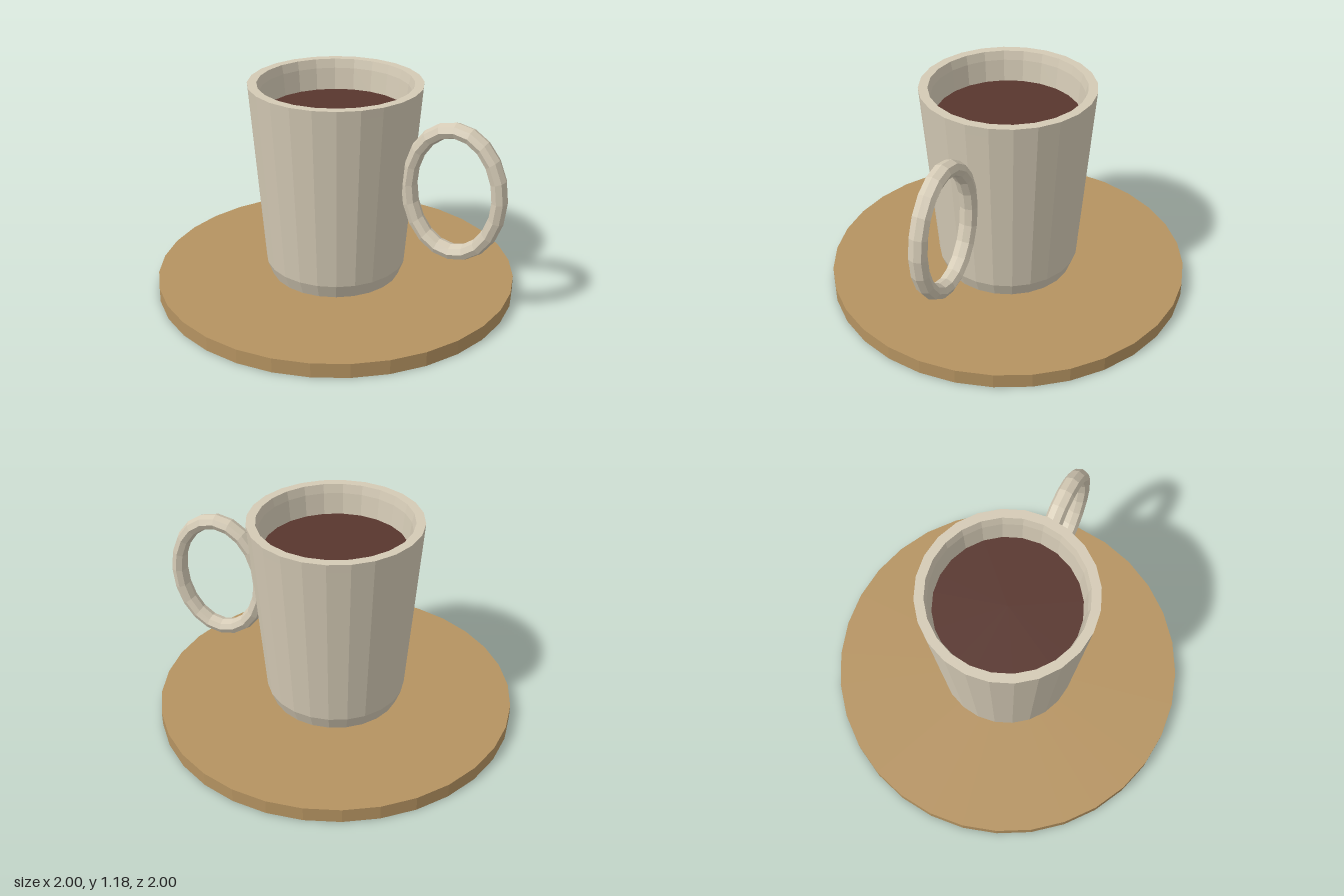
import * as THREE from 'three';

export function createModel() {
  const model = new THREE.Group();
  const material = (name, color) => {
    const m = new THREE.MeshStandardMaterial({ color, flatShading: true });
    m.name = name;
    return m;
  };
  const ceramic = material('cream ceramic', 0xd4cab5);
  const wood = material('tan wood', 0xb59361);
  const coffee = material('dark coffee', 0x58362e);

  const add = (name, geometry, mat, x = 0, y = 0, z = 0) => {
    const mesh = new THREE.Mesh(geometry, mat);
    mesh.name = name;
    mesh.position.set(x, y, z);
    model.add(mesh);
    return mesh;
  };

  // Round coaster under the mug
  add('coaster', new THREE.CylinderGeometry(1, 1, 0.08, 32), wood, 0, 0.04, 0);

  // Mug wall: from the base centre up the outside, over the rim and down the inside
  const profile = [
    [0, 0.081], [0.36, 0.081], [0.39, 0.16], [0.466, 1.13], [0.47, 1.18],
    [0.42, 1.18], [0.408, 1.13], [0.394, 1.0], [0.34, 0.16], [0, 0.16],
  ].map(([r, y]) => new THREE.Vector2(r, y));
  add('mug', new THREE.LatheGeometry(profile, 24), ceramic);

  // Coffee surface
  const surface = new THREE.CircleGeometry(0.392, 24);
  surface.rotateX(-Math.PI / 2);
  add('coffee', surface, coffee, 0, 1.01, 0);

  // Handle: a ring stretched upright while its tube keeps an even thickness
  const ring = new THREE.TorusGeometry(0.253, 0.043, 8, 20);
  const p = ring.attributes.position;
  for (let i = 0; i < p.count; i++) {
    const x = p.getX(i), y = p.getY(i);
    p.setY(i, y + 0.088 * y / Math.hypot(x, y));
    p.setZ(i, p.getZ(i) * 1.18);
  }
  ring.computeVertexNormals();
  add('handle', ring, ceramic, 0.7, 0.695, 0);

  return model;
}
